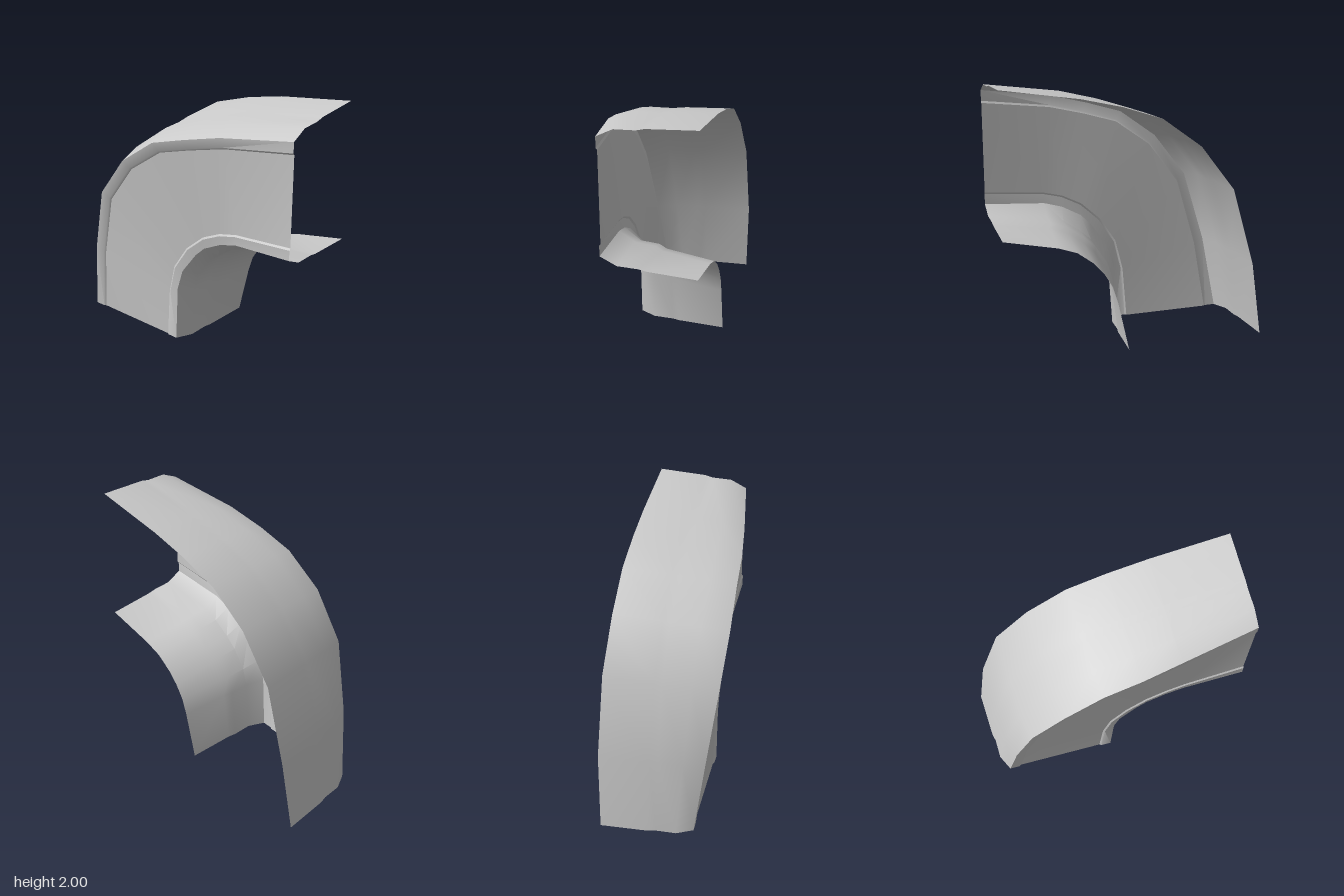
import * as THREE from 'three';
import { toCreasedNormals } from 'three/addons/utils/BufferGeometryUtils.js';

// Rails run along the bend, from the foot (y = 0) to the side end (x = 1).
const outerBack = [[-1, 0], [-0.91, 0.58], [-0.74, 1.18], [-0.48, 1.52], [-0.18, 1.74], [0.12, 1.84], [0.42, 1.91], [1, 2]];
const outerMid = [[-0.96, 0], [-0.87, 0.575], [-0.705, 1.155], [-0.45, 1.49], [-0.155, 1.71], [0.135, 1.805], [0.43, 1.88], [1, 1.96]];
const outerFront = [[-0.9, 0], [-0.81, 0.57], [-0.66, 1.12], [-0.41, 1.45], [-0.12, 1.66], [0.16, 1.745], [0.45, 1.82], [1, 1.9]];
const panelOuter = [[-0.82, 0], [-0.74, 0.55], [-0.6, 1.08], [-0.36, 1.4], [-0.08, 1.6], [0.19, 1.68], [0.47, 1.75], [1, 1.82]];
const panelInner = [[-0.11, 0], [-0.08, 0.4], [-0.025, 0.63], [0.05, 0.76], [0.14, 0.87], [0.25, 0.96], [0.4, 1.035], [0.54, 1.07], [1, 1.11]];
const innerFront = [[-0.03, 0], [-0.01, 0.45], [0.04, 0.62], [0.17, 0.8], [0.25, 0.88], [0.4, 0.96], [0.54, 1.0], [1, 1.03]];
const innerMid = [[0.03, 0], [0.06, 0.42], [0.1, 0.56], [0.2, 0.71], [0.29, 0.79], [0.42, 0.88], [0.55, 0.93], [1, 0.97]];
const innerBack = [[0.07, 0], [0.155, 0.38], [0.195, 0.51], [0.26, 0.62], [0.34, 0.71], [0.46, 0.8], [0.6, 0.85], [1, 0.935]];
panelInner.splice(3, 2, [0.1, 0.825]);

// The outer front edge swells forward in the middle of the bend.
const frontZ = [0.28, 0.345, 0.405, 0.425, 0.415, 0.4, 0.365, 0.28];
const backZ = [-0.405, -0.425, -0.415, -0.405, -0.405, -0.405, -0.405, -0.405];

const rail = (pts, z) => pts.map(([x, y], i) => [x, y, z(i)]);
const mix = (a, b, t) => a.map((p, i) => p.map((v, k) => v + (b[i][k] - v) * t));
const atZ = (r, z) => r.map(([x, y]) => [x, y, z]);

// Skin a surface across neighbouring rails.
function skin(name, rails) {
  const n = rails[0].length, index = [];
  for (let r = 0; r < rails.length - 1; r++) {
    for (let i = 0; i < n - 1; i++) {
      const a = r * n + i, b = a + n;
      index.push(a, b, a + 1, b, b + 1, a + 1);
    }
  }
  const geo = new THREE.BufferGeometry();
  geo.setAttribute('position', new THREE.Float32BufferAttribute(rails.flat(2), 3));
  geo.setIndex(index);
  const mat = new THREE.MeshStandardMaterial({ color: 0xcccccc, side: THREE.DoubleSide });
  const mesh = new THREE.Mesh(toCreasedNormals(geo, 0.6), mat);
  mesh.name = name;
  return mesh;
}

export function createModel() {
  const group = new THREE.Group();
  group.name = 'bentChannel';
  const bulge = (i, t) => 0.28 + (frontZ[i] - 0.28) * t;

  const oBack = rail(outerBack, (i) => backZ[i]);
  const oMid = rail(outerMid, (i) => 0.16 + (frontZ[i] - 0.28) * 0.5);
  const oFront = rail(outerFront, (i) => frontZ[i]);
  const pOuter = rail(panelOuter, (i) => bulge(i, 0.85));
  const pInner = rail(panelInner, (i) => bulge(i, 0.1));
  const iFront = rail(innerFront, () => 0.28);
  const iMid = rail(innerMid, () => 0.16);
  const iBack = rail(innerBack, () => -0.405);

  // small grooves where the panel meets its two borders
  const sink = (r) => r.map(([x, y, z]) => [x, y, z - 0.01]);
  const grooveOuter = sink(mix(pOuter, pInner, 0.02));
  const grooveInner = sink(mix(pInner, pOuter, 0.02));

  // outer wall: shallow step near the middle, rounded over to the front
  group.add(skin('outerWall', [
    oBack,
    atZ(mix(oBack, oMid, 0.5), -0.05),
    atZ(mix(oBack, oMid, 0.87), 0.01),
    oMid, oFront,
  ]));
  group.add(skin('outerBorder', [oFront, pOuter, grooveOuter]));
  group.add(skin('frontPanel', [grooveOuter, grooveInner]));
  group.add(skin('innerBorder', [grooveInner, pInner, iFront]));
  // inner wall follows the same step
  group.add(skin('innerWall', [
    iFront, iMid,
    atZ(mix(iMid, iBack, 0.13), 0.01),
    atZ(mix(iMid, iBack, 0.45), -0.05),
    iBack,
  ]));
  return group;
}
